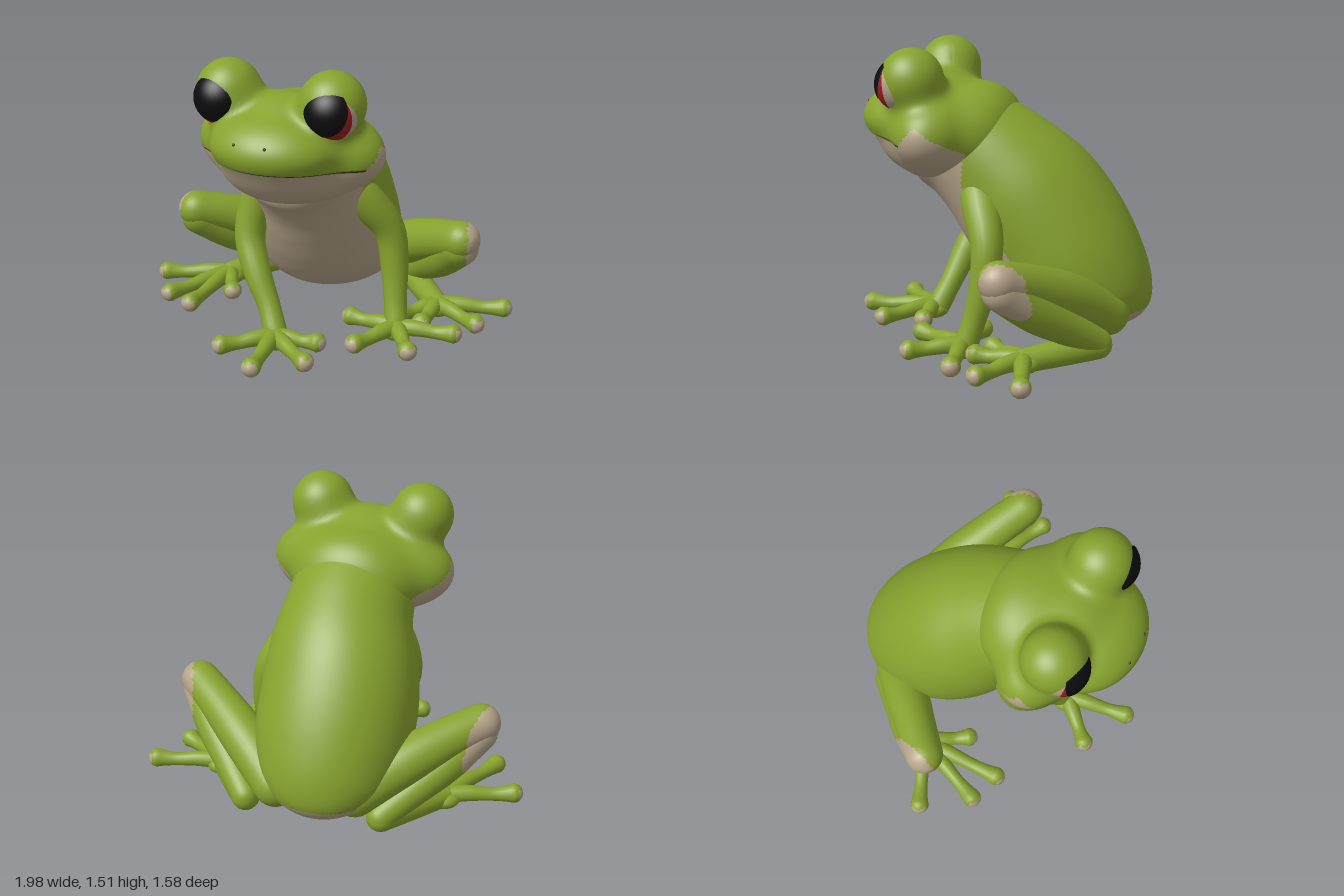
import * as THREE from 'three';

const mat = (name, color) => Object.assign(new THREE.MeshStandardMaterial({ color }), { name });
const green = mat('leaf green', 0x87a22e);
const cream = mat('belly cream', 0xb4a388);
const dark = mat('mouth shadow', 0x3b3c18);
const red = mat('iris red', 0x9c1c20);
const black = mat('pupil black', 0x0c0c0c);
const skin = [green, cream, dark];
const V = (x, y, z) => new THREE.Vector3(x, y, z);

// Closed-round surface from rings; rule(centroid, ring) picks the colour of each face
function grid(rings, sides, point, rule = () => 0) {
  const pts = [], faces = [[], [], []];
  for (let i = 0; i <= rings; i++)
    for (let j = 0; j < sides; j++) pts.push(point(i, (j / sides) * Math.PI * 2));
  const c = V(0, 0, 0);
  const tri = (i, ...t) => {
    c.set(0, 0, 0);
    t.forEach(k => c.addScaledVector(pts[k], 1 / 3));
    faces[rule(c, i)].push(...t);
  };
  for (let i = 0; i < rings; i++)
    for (let j = 0; j < sides; j++) {
      const a = i * sides + j, b = i * sides + (j + 1) % sides;
      tri(i, a, b, a + sides);
      tri(i, b, b + sides, a + sides);
    }
  const g = new THREE.BufferGeometry().setFromPoints(pts);
  g.setIndex(faces.flat());
  let start = 0;
  faces.forEach((f, k) => { if (f.length) g.addGroup(start, f.length, k); start += f.length; });
  g.computeVertexNormals();
  return g;
}

// Round-ended limb through [x, y, z, radius] points
function limb(points, rule, n = 24, sides = 20) {
  const path = new THREE.CatmullRomCurve3(points.map(p => V(p[0], p[1], p[2])));
  const radii = new THREE.CatmullRomCurve3(points.map((p, i) => V(p[3], i, 0)));
  const { tangents, normals, binormals } = path.computeFrenetFrames(n);
  const cap = 6;
  return grid(n + cap * 2, sides, (i, a) => {
    const k = Math.min(n, Math.max(0, i - cap));
    const over = (i < cap ? i - cap : Math.max(0, i - cap - n)) / cap * Math.PI / 2;
    const r = radii.getPoint(path.getUtoTmapping(k / n)).x;
    const w = r * Math.cos(over);
    return path.getPointAt(k / n).addScaledVector(tangents[k], r * Math.sin(over))
      .addScaledVector(normals[k], w * Math.cos(a)).addScaledVector(binormals[k], w * Math.sin(a));
  }, rule);
}

// Head shape: softly merged ellipsoids, [centre, radii]
const blobs = [
  [V(0.015, 1.08, 0.29), V(0.49, 0.25, 0.26)],  // cheeks
  [V(0.01, 1.06, 0.11), V(0.32, 0.255, 0.21)],  // neck
  [V(0.015, 1.125, 0.46), V(0.33, 0.19, 0.28)], // snout
  [V(0.015, 1, 0.37), V(0.32, 0.18, 0.275)],    // lower jaw
  [V(0.01, 1.25, 0.36), V(0.22, 0.11, 0.16)],   // brow
  [V(-0.27, 1.35, 0.39), V(0.163, 0.163, 0.163)],
  [V(0.28, 1.35, 0.39), V(0.163, 0.163, 0.163)],
];
const headCentre = V(0.015, 1.05, 0.32);
function headDistance(p) {
  let d = 9;
  for (const [c, r] of blobs) {
    const q = p.clone().sub(c).divide(r), k0 = q.length(), k1 = q.divide(r).length();
    const e = k0 * (k0 - 1) / Math.max(k1, 1e-6), k = 0.075;
    const h = Math.max(k - Math.abs(d - e), 0) / k;
    d = Math.min(d, e) - h * h * k / 4;
  }
  return d;
}
function headSurface(dir) {
  let t = 0.8;
  for (let s = 0; s < 36; s++) t -= 0.75 * headDistance(headCentre.clone().addScaledVector(dir, t));
  return t;
}

export function createModel() {
  const frog = new THREE.Group();
  frog.name = 'frog';
  const add = (name, geo, material = skin, parent = frog) => {
    const m = new THREE.Mesh(geo, material);
    m.name = name;
    parent.add(m);
    return m;
  };

  // Body: each section is an ellipse from a back point to a belly point
  // [back z, back y, belly z, belly y, centre x, half width]
  const sections = [
    [0.32, 1.22, 0.46, 0.98, 0.015, 0.12], [0.16, 1.32, 0.43, 0.8, 0.01, 0.31],
    [-0.02, 1.235, 0.34, 0.73, 0.01, 0.32], [-0.2, 1.135, 0.26, 0.63, 0, 0.34],
    [-0.4, 0.985, 0.19, 0.5, -0.03, 0.385], [-0.57, 0.775, 0.11, 0.36, -0.05, 0.405],
    [-0.7, 0.54, 0, 0.22, -0.055, 0.4], [-0.77, 0.33, -0.15, 0.13, -0.06, 0.35],
    [-0.77, 0.2, -0.35, 0.1, -0.065, 0.25], [-0.71, 0.12, -0.5, 0.09, -0.07, 0.13],
    [-0.62, 0.095, -0.62, 0.095, -0.07, 0],
  ];
  const back = new THREE.CatmullRomCurve3(sections.map(s => V(s[4], s[1], s[0])));
  const belly = new THREE.CatmullRomCurve3(sections.map(s => V(s[4], s[3], s[2])));
  const width = new THREE.CatmullRomCurve3(sections.map((s, i) => V(s[5], i * 0.1, 0)));
  const bodyRule = p => {
    const edge = Math.min(0.11, -0.35 + (p.y - 0.25) * 0.9) + Math.max(0, -p.x - 0.15) * 0.8;
    const front = p.z > edge && p.y < 1 && p.z > -0.37;
    return front || (p.z < -0.64 && p.y < 0.19) ? 1 : 0;
  };
  add('body', grid(100, 90, (i, a) => {
    const b = back.getPoint(i / 100), f = belly.getPoint(i / 100);
    const mid = b.clone().add(f).multiplyScalar(0.5);
    return mid.clone().addScaledVector(b.sub(mid), Math.cos(a))
      .add(V(Math.max(0, width.getPoint(i / 100).x) * Math.sin(a), 0, 0));
  }, bodyRule));

  // Head: the mouth runs along the middle ring, lifted at the front, the lower jaw set back a little
  const N = 124;
  add('head', grid(N, 150, (i, a) => {
    const th = i / N * Math.PI;
    const dir = V(Math.sin(th) * Math.cos(a), Math.cos(th), Math.sin(th) * Math.sin(a));
    const p = headCentre.clone().addScaledVector(dir, headSurface(dir));
    const lift = 0.02 * Math.max(0, (p.z - 0.45) / 0.28) * Math.exp(-(((p.y - 1.05) / 0.1) ** 2));
    if (i > N / 2) {
      const setBack = 0.03 * THREE.MathUtils.smoothstep(p.z, 0.36, 0.5);
      p.sub(headCentre).multiplyScalar(1 - setBack).add(headCentre);
    }
    p.y += lift;
    return p;
  }, (p, i) => {
    if (p.z > 0.4) return i === N / 2 ? 2 : i > N / 2 ? 1 : 0;
    const edge = p.z > 0.3 ? 1.15 - (p.z - 0.3) * 1.1 : 1.15 - (0.3 - p.z) * 0.7;
    return p.z > 0.09 && p.y < edge ? 1 : 0;
  }));

  // Nostrils
  for (const s of [-1, 1]) {
    const dir = V(s * 0.075 - 0.015, 0.135, 0.36).normalize();
    const n = add('nostril', new THREE.SphereGeometry(0.008, 10, 8), dark);
    n.position.copy(headCentre).addScaledVector(dir, headSurface(dir));
  }

  // Eyes: ball with thin iris and pupil caps
  for (const s of [-1, 1]) {
    const eye = new THREE.Group();
    eye.name = s > 0 ? 'leftEye' : 'rightEye';
    eye.position.set(0.005 + s * 0.291, 1.329, 0.434);
    frog.add(eye);
    const capMesh = (name, r, angle, dir, m) => {
      const cap = add(name, new THREE.SphereGeometry(r, 40, 24, 0, Math.PI * 2, 0, angle), m, eye);
      cap.quaternion.setFromUnitVectors(V(0, 1, 0), dir.normalize());
    };
    capMesh('eyeball', 0.135, Math.PI, V(0, 1, 0), cream);
    capMesh('iris', 0.138, 1.14, V(s * 0.02, -0.12, 1), red);
    capMesh('pupil', 0.141, 0.98, V(-s * 0.03, 0.24, 1), black);
  }

  // Toes fan out from a base point to [x, z] tips and end in round pads, pale underneath
  const toes = (name, x, z, tips) => {
    const g = new THREE.Group();
    g.name = name;
    frog.add(g);
    const palm = add('palm', new THREE.SphereGeometry(0.085, 24, 16), green, g);
    palm.scale.y = 0.6;
    palm.position.set(x, 0.055, z);
    for (const [tx, tz] of tips) {
      const at = (t, y, r) => [x + (tx - x) * t, y, z + (tz - z) * t, r];
      add('toe', limb([at(0, 0.07, 0.048), at(0.35, 0.075, 0.042), at(0.68, 0.066, 0.035),
        at(0.88, 0.068, 0.043), at(0.97, 0.07, 0.051)],
      (p, i) => (i >= 28 && p.y < 0.1 ? 1 : 0), 20, 18), skin, g);
    }
  };

  // Front legs and hands
  add('leftArm', limb([[0.17, 0.89, 0.1, 0.08], [0.3, 0.74, 0.02, 0.097], [0.41, 0.57, -0.05, 0.082],
    [0.445, 0.38, -0.045, 0.073], [0.47, 0.2, -0.005, 0.06], [0.49, 0.08, 0.03, 0.062]]));
  toes('leftHand', 0.5, 0.05, [[0.65, 0.28], [0.8, 0], [0.37, 0.32], [0.23, 0.03]]);
  add('rightArm', limb([[-0.13, 0.89, 0.18, 0.08], [-0.23, 0.72, 0.16, 0.095], [-0.265, 0.52, 0.21, 0.08],
    [-0.19, 0.35, 0.28, 0.072], [-0.1, 0.2, 0.33, 0.059], [-0.04, 0.08, 0.38, 0.062]]));
  toes('rightHand', -0.03, 0.41, [[-0.24, 0.61], [0.01, 0.76], [0.23, 0.6], [0.2, 0.38]]);

  // Hind legs: folded thigh and shin with a pale knee end, long foot
  const hindLeg = (side, hip, knee, heel, ball, tips) => {
    const rule = p => (Math.abs(p.x) - 0.35 * (p.z - knee[2]) > Math.abs(knee[0]) + 0.03 ? 1 : 0);
    const mix = (a, b, t, lift, r) => [...a.map((v, i) => v + (b[i] - v) * t + (i === 1 ? lift : 0)), r];
    add(side + 'Thigh', limb([mix(hip, knee, 0, 0, 0.115), mix(hip, knee, 0.4, 0.025, 0.12),
      mix(hip, knee, 0.75, 0.02, 0.107), mix(hip, knee, 1, 0, 0.1)], rule, 48, 32));
    const low = [knee[0] * 0.99, knee[1] - 0.05, knee[2] - 0.01];
    add(side + 'Shin', limb([mix(low, heel, 0, 0, 0.097), mix(low, heel, 0.35, -0.01, 0.1),
      mix(low, heel, 0.7, 0, 0.085), mix(low, heel, 1, 0.01, 0.072)], rule, 48, 32));
    add(side + 'Foot', limb([mix(heel, ball, 0, 0, 0.073), mix(heel, ball, 0.5, -0.005, 0.068),
      mix(heel, ball, 1, -0.01, 0.06)]));
    toes(side + 'Toes', ball[0], ball[2], tips);
  };
  hindLeg('left', [0.16, 0.2, -0.6], [0.745, 0.5, -0.225], [0.33, 0.09, -0.6], [0.6, 0.075, -0.3],
    [[0.95, -0.4], [0.87, -0.15], [0.6, -0.05], [0.47, -0.1]]);
  hindLeg('right', [-0.25, 0.21, -0.56], [-0.76, 0.47, -0.1], [-0.38, 0.09, -0.54], [-0.61, 0.075, -0.2],
    [[-0.95, -0.06], [-0.79, 0.19], [-0.62, 0.26], [-0.48, 0.02]]);

  return frog;
}
